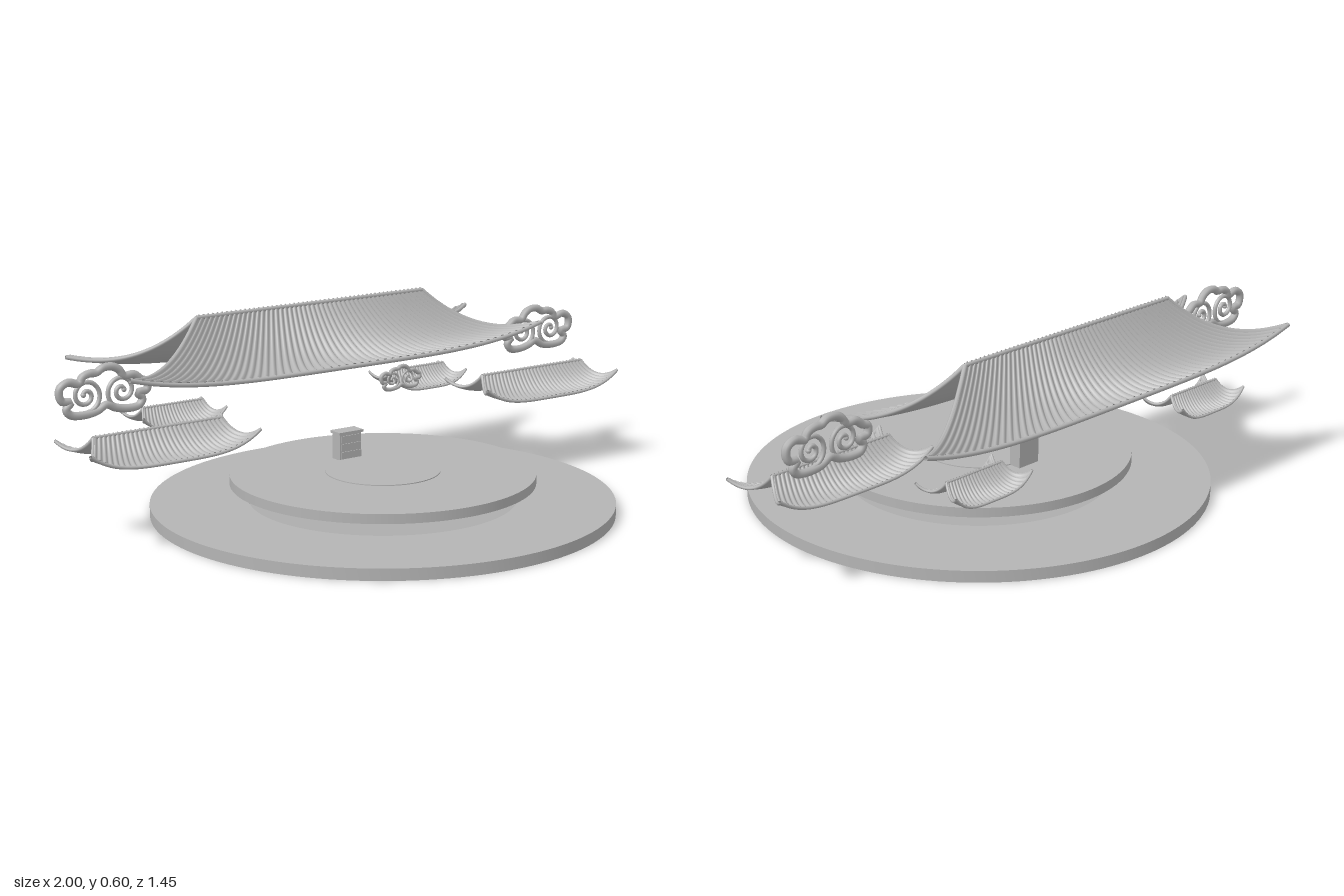
import * as THREE from 'three';
import { toCreasedNormals } from 'three/addons/utils/BufferGeometryUtils.js';

const stone = new THREE.MeshStandardMaterial({ color: 0xb4b4b4, side: THREE.DoubleSide });
stone.name = 'stone grey';

function add(parent, name, geometry, x = 0, y = 0, z = 0) {
  const mesh = new THREE.Mesh(geometry, stone);
  mesh.name = name;
  mesh.position.set(x, y, z);
  parent.add(mesh);
  return mesh;
}

// Smooth grid over u (-1..1) and t (0..1)
function gridGeometry(point, nu, nt, flip) {
  const pos = [], index = [];
  for (let j = 0; j <= nt; j++) {
    for (let i = 0; i <= nu; i++) pos.push(...point(-1 + (2 * i) / nu, j / nt));
  }
  for (let j = 0; j < nt; j++) {
    for (let i = 0; i < nu; i++) {
      const a = j * (nu + 1) + i, b = a + 1, c = a + nu + 1, d = c + 1;
      if (flip) index.push(a, b, c, b, d, c);
      else index.push(a, c, b, b, c, d);
    }
  }
  const g = new THREE.BufferGeometry();
  g.setAttribute('position', new THREE.Float32BufferAttribute(pos, 3));
  g.setIndex(index);
  g.computeVertexNormals();
  return g;
}

// Sweeping roof: straight ridge, wider eaves, upturned corners, rib tiles
function makeRoof(name, { x, z, ridge, eave, depth, top, low, lift, ribs, rib, thick, trim }) {
  const roof = new THREE.Group();
  roof.name = name;
  roof.position.set(x, 0, z);
  const surface = (u, t, s) => [
    u * (ridge + (eave - ridge) * t),
    low + (top - low) * Math.pow(1 - t, 2.2) + lift * Math.pow(Math.abs(u), 4) * Math.pow(t, 1.6),
    s * depth * t,
  ];
  const edge = (label, fn, n) => {
    const pts = [];
    for (let i = 0; i <= n; i++) pts.push(new THREE.Vector3(...fn(i / n)));
    add(roof, label, new THREE.TubeGeometry(new THREE.CatmullRomCurve3(pts), n * 2, trim, 8), 0, -thick / 2, 0);
  };
  for (const s of [1, -1]) {
    const side = s > 0 ? 'front' : 'back';
    const tiles = (u, t) => {
      const p = surface(u, t, s);
      p[1] += rib * Math.abs(Math.sin(((u + 1) / 2) * ribs * Math.PI)) - rib / 2;
      return p;
    };
    const under = (u, t) => {
      const p = surface(u, t, s);
      p[1] -= thick;
      return p;
    };
    add(roof, side + 'Tiles', gridGeometry(tiles, ribs * 6, 14, s < 0));
    add(roof, side + 'Underside', gridGeometry(under, 40, 14, s > 0));
    edge(side + 'EaveTrim', (k) => surface(k * 2 - 1, 1, s), 24);
    for (const u of [-1, 1]) edge(side + 'GableTrim', (k) => surface(u, k, s), 12);
  }
  edge('ridgeTrim', (k) => surface(k * 2 - 1, 0, 1), 2);
  return roof;
}

// Cloud ornament: lobed closed outline with two inner curls
function makeCloud(name, x, y, z, scale, mirror = 1) {
  const cloud = new THREE.Group();
  cloud.name = name;
  const outline = [
    [-0.145, 0.005], [-0.14, 0.025], [-0.115, 0.038], [-0.08, 0.03], [-0.068, 0.048], [-0.045, 0.056],
    [-0.022, 0.056], [0, 0.068], [0.03, 0.068], [0.052, 0.056], [0.068, 0.036], [0.1, 0.036],
    [0.125, 0.018], [0.146, 0.008], [0.142, -0.016], [0.112, -0.022], [0.128, -0.04], [0.115, -0.06],
    [0.07, -0.064], [0.035, -0.056], [0.008, -0.044], [-0.025, -0.06], [-0.07, -0.066], [-0.11, -0.06],
    [-0.124, -0.042], [-0.108, -0.022], [-0.136, -0.016],
  ].map(([px, py]) => new THREE.Vector3(px, py, 0));
  add(cloud, 'cloudOutline', new THREE.TubeGeometry(new THREE.CatmullRomCurve3(outline, true), 130, 0.0125, 8, true));
  for (const s of [-1, 1]) {
    const pts = [];
    for (let i = 0; i <= 24; i++) {
      const k = i / 24, a = -Math.PI / 2 + k * Math.PI * 3.4, r = 0.046 * (1 - k) + 0.007;
      pts.push(new THREE.Vector3(s * (0.06 - r * Math.cos(a)), -0.008 + r * Math.sin(a), 0));
    }
    add(cloud, 'cloudCurl', new THREE.TubeGeometry(new THREE.CatmullRomCurve3(pts), 60, 0.007, 7));
    add(cloud, 'curlTip', new THREE.SphereGeometry(0.008, 10, 8), pts[24].x, pts[24].y, 0);
  }
  cloud.position.set(x, y, z);
  cloud.scale.set(scale, scale, scale);
  if (mirror < 0) cloud.rotation.y = Math.PI;
  return cloud;
}

export function createModel() {
  const model = new THREE.Group();
  model.name = 'floatingPavilion';

  // Lower ring platform
  const ring = new THREE.Shape().absarc(0, 0, 0.725, 0, Math.PI * 2);
  ring.holes.push(new THREE.Path().absarc(0, 0, 0.42, 0, Math.PI * 2, true));
  const ringGeometry = new THREE.ExtrudeGeometry(ring, { depth: 0.036, bevelEnabled: false, curveSegments: 96 });
  ringGeometry.rotateX(-Math.PI / 2);
  add(model, 'lowerRing', toCreasedNormals(ringGeometry, 0.6));

  // Upper platform and inlaid centre
  add(model, 'upperPlatform', new THREE.CylinderGeometry(0.478, 0.478, 0.03, 96), 0, 0.104, 0);
  add(model, 'centreInlay', new THREE.CylinderGeometry(0.18, 0.18, 0.004, 64), 0, 0.12, 0);

  // Small cabinet with drawers
  const cabinet = new THREE.Group();
  cabinet.name = 'cabinet';
  cabinet.position.set(-0.002, 0, -0.194);
  add(cabinet, 'cabinetBody', new THREE.BoxGeometry(0.082, 0.086, 0.042), 0, 0.16, 0);
  add(cabinet, 'cabinetTop', new THREE.BoxGeometry(0.092, 0.008, 0.052), 0, 0.207, 0);
  for (let i = 0; i < 3; i++) {
    add(cabinet, 'drawer', new THREE.BoxGeometry(0.074, 0.022, 0.004), 0, 0.135 + i * 0.026, 0.022);
  }
  model.add(cabinet);

  // Main roof
  model.add(makeRoof('mainRoof', {
    x: 0, z: -0.382, ridge: 0.435, eave: 0.782, depth: 0.207, top: 0.597, low: 0.424,
    lift: 0.056, ribs: 52, rib: 0.011, thick: 0.01, trim: 0.007,
  }));

  // Side roofs, large in front and small behind, and the big clouds
  for (const s of [-1, 1]) {
    const side = s > 0 ? 'left' : 'right';
    model.add(makeRoof(side + 'FrontRoof', {
      x: s * 0.714, z: -0.133, ridge: 0.215, eave: 0.281, depth: 0.113, top: 0.338, low: 0.259,
      lift: 0.056, ribs: 30, rib: 0.007, thick: 0.008, trim: 0.005,
    }));
    model.add(makeRoof(side + 'RearRoof', {
      x: s * 0.48, z: -0.463, ridge: 0.108, eave: 0.148, depth: 0.08, top: 0.314, low: 0.254,
      lift: 0.046, ribs: 20, rib: 0.006, thick: 0.007, trim: 0.004,
    }));
    model.add(makeCloud(side + 'Cloud', s * 0.829, 0.439, -0.252, 1, -s));
  }

  // Single small cloud
  model.add(makeCloud('smallCloud', 0.283, 0.327, -0.295, 0.54));
  return model;
}
